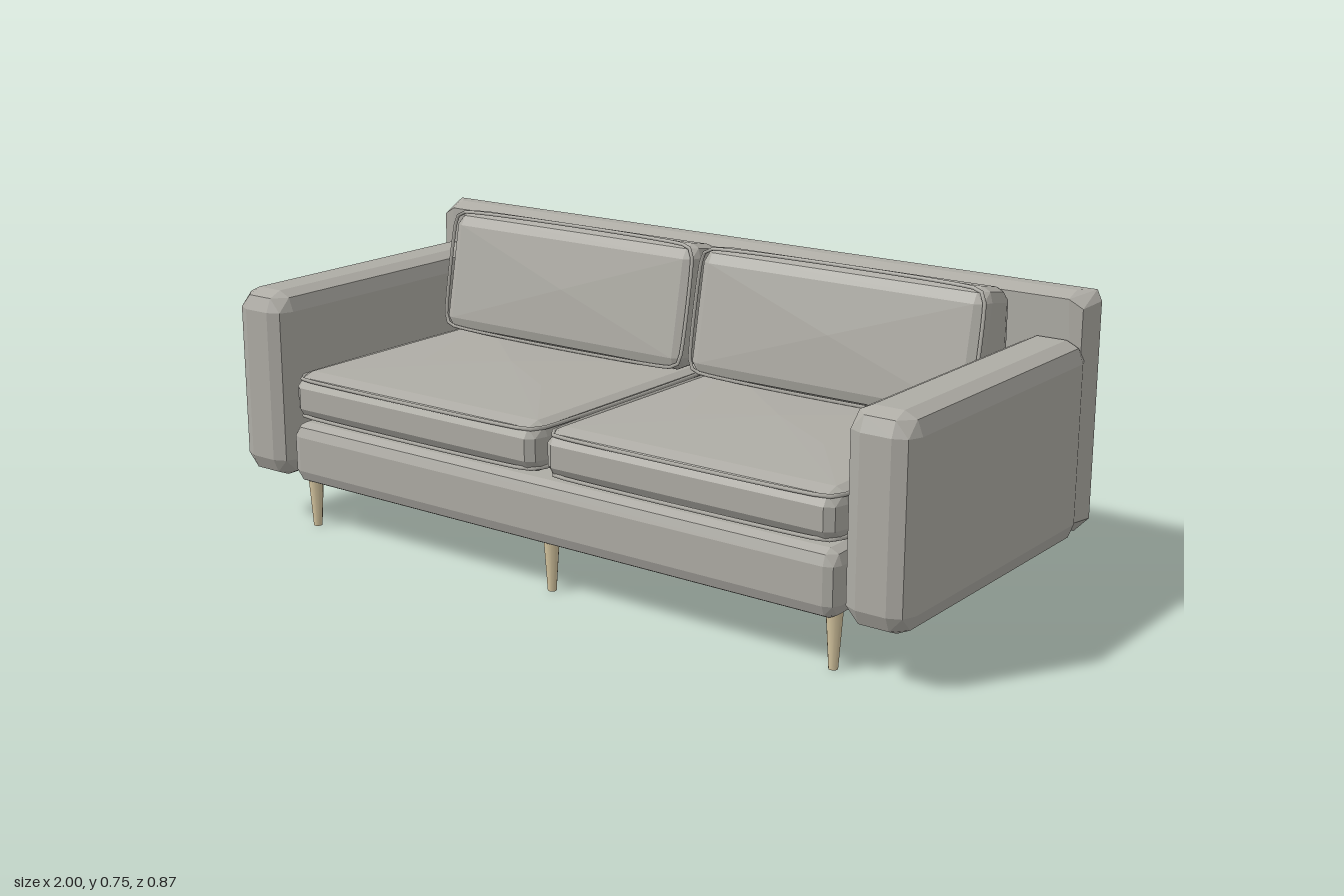
import * as THREE from 'three';
import { ConvexGeometry } from 'three/addons/geometries/ConvexGeometry.js';

const fabric = new THREE.MeshStandardMaterial({ color: 0xaeaca5 });
fabric.name = 'grey fabric';
const wood = new THREE.MeshStandardMaterial({ color: 0xd6c6a0 });
wood.name = 'pale wood';

function part(name, geometry, material = fabric) {
  const mesh = new THREE.Mesh(geometry, material);
  mesh.name = name;
  return mesh;
}

// Faceted box between two corners; chamfers per axis, an optional crown and a warp rule
function softBox(min, max, chamfer, { crown = [], warp } = {}) {
  const centre = min.map((v, i) => (v + max[i]) / 2);
  const half = min.map((v, i) => (max[i] - v) / 2);
  const steps = [[0, 1, 1], [1, 0, 1], [1, 1, 0], [0.3, 0.3, 1], [0.3, 1, 0.3], [1, 0.3, 0.3]];
  const points = [];
  for (const sx of [-1, 1]) for (const sy of [-1, 1]) for (const sz of [-1, 1]) {
    for (const step of steps) {
      const s = [sx, sy, sz];
      points.push(new THREE.Vector3(...s.map((sign, i) => centre[i] + sign * (half[i] - chamfer[i] * step[i]))));
    }
  }
  for (const p of crown) points.push(new THREE.Vector3(...p));
  if (warp) points.forEach(warp);
  return new ConvexGeometry(points);
}

// Closed piping loop round a rectangle, placed by a mapping from (u, v) to a point
function piping(u0, u1, v0, v1, r, place) {
  const points = [];
  const corners = [[u1 - r, v1 - r], [u0 + r, v1 - r], [u0 + r, v0 + r], [u1 - r, v0 + r]];
  corners.forEach(([u, v], i) => {
    for (let k = 0; k <= 3; k++) {
      const a = (i + k / 3) * Math.PI / 2;
      points.push(place(u + r * Math.cos(a), v + r * Math.sin(a)));
    }
  });
  const path = new THREE.CurvePath();
  points.forEach((p, i) => path.add(new THREE.LineCurve3(p, points[(i + 1) % points.length])));
  const curve = new THREE.CatmullRomCurve3(points, true, 'centripetal');
  return new THREE.TubeGeometry(curve, 80, 0.005, 5, true);
}

export function createModel() {
  const sofa = new THREE.Group();
  sofa.name = 'sofa';

  // Seat base
  sofa.add(part('base', softBox([-0.82, 0.125, -0.37], [0.82, 0.285, 0.425], [0.03, 0.035, 0.03])));

  // Back panel, narrower towards the seat
  const back = [];
  for (const s of [-1, 1]) {
    for (const [x, y, z] of [
      [0.985, 0.725, -0.43], [0.95, 0.725, -0.395], [0.95, 0.71, -0.355],
      [1, 0.70, -0.425], [0.985, 0.69, -0.36], [0.96, 0.72, -0.435],
      [1, 0.17, -0.425], [0.96, 0.128, -0.43], [0.97, 0.16, -0.435],
      [0.985, 0.17, -0.36], [0.95, 0.15, -0.37],
    ]) back.push(new THREE.Vector3(s * x, y, z));
  }
  sofa.add(part('backPanel', new ConvexGeometry(back)));

  for (const s of [-1, 1]) {
    const side = s > 0 ? 'left' : 'right';
    const span = (a, b) => (s > 0 ? [a, b] : [-b, -a]);

    // Arm with a rounded top
    const [a0, a1] = span(0.833, 0.998);
    sofa.add(part(side + 'Arm', softBox([a0, 0.125, -0.398], [a1, 0.615, 0.435], [0.045, 0.05, 0.05])));

    // Seat cushion with a slight crown
    const [c0, c1] = span(0.01, 0.815);
    const mid = (c0 + c1) / 2;
    sofa.add(part(side + 'SeatCushion', softBox([c0, 0.29, -0.35], [c1, 0.415, 0.42], [0.03, 0.035, 0.05], {
      crown: [[mid, 0.428, 0.03], [mid - 0.2, 0.423, 0.15], [mid + 0.2, 0.423, 0.15]],
    })));
    for (const y of [0.305, 0.402]) {
      sofa.add(part(side + 'SeatPiping', piping(c0 + 0.006, c1 - 0.006, -0.34, 0.412, 0.04,
        (u, v) => new THREE.Vector3(u, y, v))));
    }

    // Back cushion, its front leaning backwards
    const lean = (y) => -0.152 - 0.06 * (y - 0.43) / 0.31;
    sofa.add(part(side + 'BackCushion', softBox([c0, 0.42, -0.345], [c1, 0.738, -0.15], [0.03, 0.035, 0.035], {
      crown: [[mid, 0.58, -0.142], [mid, 0.742, -0.25]],
      warp: (p) => {
        if (p.z > -0.25) p.z += lean(p.y) + 0.15;
        else if (p.y > 0.65) p.y -= 0.012;
      },
    })));
    sofa.add(part(side + 'BackPiping', piping(c0 + 0.004, c1 - 0.004, 0.432, 0.738, 0.03,
      (u, v) => new THREE.Vector3(u, v, lean(v) - 0.004))));
  }

  // Tapered legs
  for (const x of [-0.79, 0, 0.79]) for (const z of [0.372, -0.356]) {
    const leg = part('leg', new THREE.CylinderGeometry(0.02, 0.011, 0.135, 10), wood);
    leg.position.set(x, 0.0675, z);
    sofa.add(leg);
  }
  return sofa;
}
